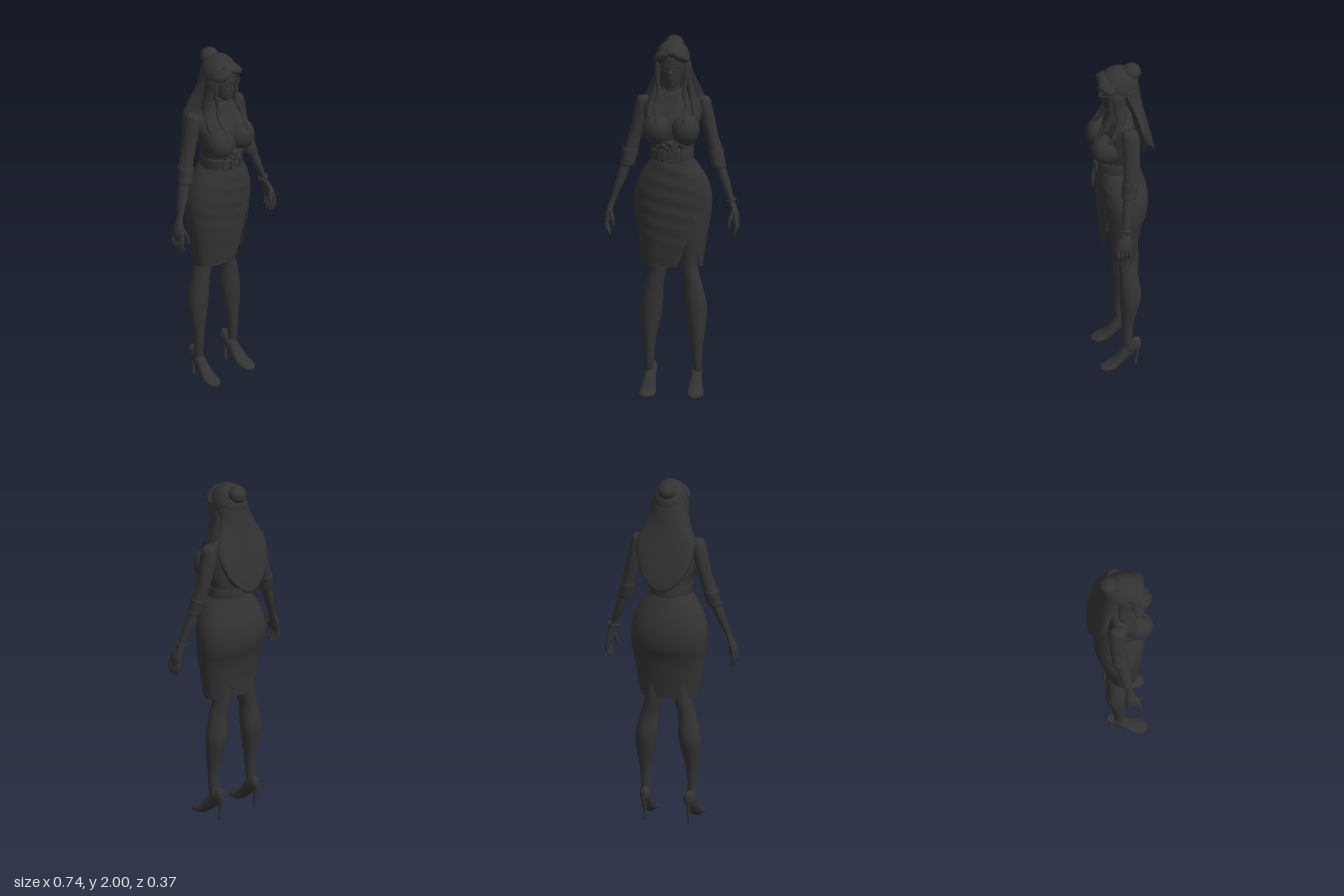
import * as THREE from 'three';
import { mergeVertices } from 'three/addons/utils/BufferGeometryUtils.js';

const charcoal = new THREE.MeshStandardMaterial({ color: 0x333333, side: THREE.DoubleSide });
charcoal.name = 'charcoal';

export function createModel() {
  const model = new THREE.Group();
  model.name = 'woman';

  const add = (name, geo, pos = [0, 0, 0], rot = [0, 0, 0], scale = [1, 1, 1]) => {
    const mesh = new THREE.Mesh(geo, charcoal);
    mesh.name = name;
    mesh.position.set(...pos);
    mesh.rotation.set(...rot);
    mesh.scale.set(...scale);
    model.add(mesh);
    return mesh;
  };
  const ball = (name, pos, scale, rot) => add(name, new THREE.SphereGeometry(1, 28, 20), pos, rot, scale);

  // smooth interpolation through rows of numbers
  const sample = (rows, t) => {
    const f = t * (rows.length - 1), i = Math.min(Math.floor(f), rows.length - 2), k = f - i;
    const r = j => rows[Math.max(0, Math.min(rows.length - 1, j))];
    return rows[0].map((_, c) => {
      const a = r(i - 1)[c], b = r(i)[c], d = r(i + 1)[c], e = r(i + 2)[c];
      return b + 0.5 * k * (d - a + k * (2 * a - 5 * b + 4 * d - e + k * (3 * (b - d) + e - a)));
    });
  };

  // grid surface from fn(u, v), welded and smooth
  const surface = (fn, nu, nv) => {
    const pos = [], idx = [];
    for (let j = 0; j <= nv; j++) for (let i = 0; i <= nu; i++) pos.push(...fn(i / nu, j / nv));
    for (let j = 0; j < nv; j++) for (let i = 0; i < nu; i++) {
      const a = j * (nu + 1) + i, b = a + nu + 1;
      idx.push(a, b, a + 1, b, b + 1, a + 1);
    }
    const g = new THREE.BufferGeometry();
    g.setAttribute('position', new THREE.Float32BufferAttribute(pos, 3));
    g.setIndex(idx);
    const welded = mergeVertices(g, 1e-5);
    welded.computeVertexNormals();
    return welded;
  };

  // closed loft; rows run downwards as [y, centre x, centre z, radius x, radius z]
  const loft = (rows, side = 1, nu = 24, per = 5) => {
    const n = (rows.length - 1) * per;
    return surface((u, v) => {
      const j = Math.round(v * (n + 2)) - 1;
      const [y, cx, cz, rx, rz] = sample(rows, Math.max(0, Math.min(n, j)) / n);
      const k = j < 0 || j > n ? 0 : 1, a = (Math.round(u * nu) % nu) / nu * Math.PI * 2;
      return [side * cx + k * rx * Math.sin(a), y, cz + k * rz * Math.cos(a)];
    }, nu, n + 2);
  };
  // flat panel from four corners
  const panel = (a, b, c, d) => surface((u, v) => a.map((_, i) =>
    (1 - v) * ((1 - u) * a[i] + u * b[i]) + v * ((1 - u) * d[i] + u * c[i])), 4, 4);

  // blouse
  add('blouseTorso', loft([
    [1.70, 0, 0, .05, .045], [1.68, 0, 0, .1, .057], [1.65, 0, 0, .155, .066], [1.6, 0, .008, .165, .082],
    [1.53, 0, .022, .15, .1], [1.46, 0, .025, .135, .105], [1.4, 0, .02, .116, .1], [1.32, 0, .025, .11, .1],
  ], 1, 36));
  for (const s of [1, -1]) {
    ball('bust', [s * .08, 1.495, .098], [.078, .088, .083]);
    add('lapel', panel([s * .05, 1.715, .045], [s * .105, 1.64, .085], [s * .09, 1.57, .152], [s * .03, 1.61, .125]));
    add('blouseKnotTail', new THREE.ConeGeometry(.02, .09, 10), [s * .035, 1.425, .135], [.3, 0, s * 1.1], [1, 1, .5]);
    add('blouseFold', new THREE.CapsuleGeometry(.011, .13, 4, 10), [s * .06, 1.43, .123], [.1, s * .5, s * -1.0]);
  }
  ball('blouseKnot', [0, 1.42, .135], [.024, .022, .02]);

  // standing collar, open at the front and higher at the back
  add('collar', surface((u, v) => {
    const a = .55 + u * (Math.PI * 2 - 1.1), back = (1 - Math.cos(a)) / 2;
    const r = .056 + v * .03;
    return [r * 1.1 * Math.sin(a), 1.675 + .055 * back + .035 * (1 - v) - v * .02, .005 + r * Math.cos(a)];
  }, 32, 4));

  // belt and buckle
  add('belt', loft([[1.385, 0, .027, .114, .108], [1.38, 0, .027, .119, .112], [1.325, 0, .027, .119, .112], [1.32, 0, .027, .114, .108]], 1, 36, 2));
  for (const s of [1, -1]) {
    add('buckleSide', new THREE.BoxGeometry(.01, .06, .012), [s * .03, 1.352, .141]);
    add('buckleBar', new THREE.BoxGeometry(.06, .01, .012), [0, 1.352 + s * .025, .141]);
    add('beltLoop', new THREE.BoxGeometry(.012, .07, .01), [s * .065, 1.352, .122], [0, s * .5, 0]);
  }
  add('bucklePin', new THREE.BoxGeometry(.03, .008, .012), [.008, 1.352, .142]);

  // pencil skirt with a slit: rows are [y, radius x, front z, back z, slit start angle, slit end angle]
  const skirtRows = [
    [1.335, .112, .132, -.08, .66, .66], [1.27, .16, .138, -.107, .66, .66], [1.2, .196, .14, -.133, .66, .66],
    [1.12, .215, .137, -.146, .66, .66], [1.04, .213, .13, -.139, .66, .66], [.96, .202, .123, -.113, .59, .72],
    [.85, .183, .113, -.094, .42, .9], [.73, .165, .102, -.08, .21, 1.14],
  ];
  const soft = t => Math.sign(t) * Math.abs(t) ** .93;
  add('skirt', surface((u, v) => {
    const [y, rx, zf, zb, a0, a1] = sample(skirtRows, v);
    const a = a1 + u * (a0 + Math.PI * 2 - a1), c = soft(Math.cos(a));
    const cz = (zf + zb) / 2, fold = .002 * Math.max(0, c) * Math.sin(y * 75 + a * 4);
    return [rx * soft(Math.sin(a)), y, cz + c * (zf - zb) / 2 + fold];
  }, 56, 42));

  for (const s of [1, -1]) {
    // leg
    add('leg', loft([
      [1.0, .085, 0, .075, .085], [.85, .08, -.01, .06, .07], [.72, .083, -.025, .049, .058], [.62, .107, -.024, .051, .052],
      [.5, .122, -.03, .062, .06], [.4, .129, -.022, .051, .048], [.3, .132, -.013, .034, .034],
      [.2, .133, -.012, .026, .028], [.12, .133, -.025, .026, .03],
    ], s));

    // high-heeled shoe, sections from heel to toe: [z, centre y, radius x, radius y]
    const shoe = [[-.088, .15, .012, .022], [-.075, .15, .026, .038], [-.045, .138, .031, .05], [-.005, .104, .032, .052],
      [.035, .062, .038, .042], [.07, .032, .045, .03], [.11, .021, .043, .02], [.135, .015, .026, .013], [.142, .013, .01, .008]];
    add('shoe', surface((u, v) => {
      const n = 40, j = Math.round(v * 42) - 1, [z, cy, rx, ry] = sample(shoe, Math.max(0, Math.min(n, j)) / n);
      const k = j < 0 || j > n ? 0 : 1, a = (Math.round(u * 24) % 24) / 24 * Math.PI * 2;
      return [s * (.128 + z * .06) + k * rx * Math.sin(a), Math.max(0, cy + k * ry * Math.cos(a)), z];
    }, 24, 42));
    add('stiletto', loft([[.14, .125, -.066, .022, .024], [.08, .125, -.064, .011, .012], [0, .125, -.057, .007, .008]], s, 14));

    // sleeve and rolled cuff
    add('sleeve', loft([
      [1.668, .166, -.02, .02, .025], [1.655, .169, -.02, .034, .042], [1.61, .175, -.021, .04, .05], [1.54, .19, -.023, .04, .048],
      [1.45, .212, -.02, .037, .045], [1.36, .237, -.012, .039, .043], [1.3, .25, -.002, .037, .038],
    ], s));
    add('sleeveCuff', loft([[1.375, .235, -.012, .036, .04], [1.365, .237, -.012, .043, .047], [1.325, .244, -.004, .041, .045],
      [1.285, .254, .003, .041, .042], [1.275, .256, .004, .034, .036]], s, 24, 3));
    add('cuffFlap', new THREE.ConeGeometry(.015, .07, 8), [s * .277, 1.365, -.005], [0, 0, s * -.1], [.5, 1, 1.2]);

    // forearm and palm
    add('forearm', loft([
      [1.32, .25, -.002, .03, .032], [1.2, .29, .016, .027, .03], [1.12, .319, .03, .018, .022], [1.08, .333, .035, .017, .024],
      [1.03, .35, .046, .019, .041], [.99, .355, .05, .016, .042], [.975, .356, .05, .01, .034],
    ], s));
    // fingers and thumb
    for (let i = 0; i < 4; i++) {
      const z = .018 + i * .022, end = [.925, .905, .9, .915][i];
      add('finger', loft([[1.0, .355, z, .011, .011], [.96, .361, z + .002, .011, .011],
        [.935, .355, z + .004, .009, .009], [end, .343, z + .004, .005, .006]], s, 10, 3));
    }
    add('thumb', loft([[1.05, .345, .07, .01, .012], [1.01, .33, .086, .012, .013], [.975, .322, .094, .009, .01],
      [.95, .322, .096, .005, .006]], s, 10, 3));
  }
  add('bracelet', new THREE.TorusGeometry(.023, .006, 8, 24), [.325, 1.1, .032], [Math.PI / 2, .3, 0]);
  add('watchFace', new THREE.CylinderGeometry(.014, .014, .01, 16), [.348, 1.1, .032], [0, 0, 1.3]);

  // neck and head
  add('neck', loft([[1.8, 0, .0, .042, .045], [1.73, 0, .005, .038, .04], [1.68, 0, .0, .045, .045], [1.64, 0, .0, .06, .055]]));
  add('head', loft([
    [1.96, 0, .015, .04, .06], [1.93, 0, .012, .07, .095], [1.88, 0, .013, .078, .1], [1.83, 0, .017, .073, .095],
    [1.79, 0, .03, .061, .077], [1.755, 0, .052, .042, .05], [1.735, 0, .07, .024, .028], [1.728, 0, .075, .01, .015],
  ], 1, 32));
  add('nose', new THREE.ConeGeometry(.012, .045, 10), [0, 1.828, .112], [-.25, 0, 0]);
  ball('lips', [0, 1.778, .101], [.018, .008, .008]);
  for (const s of [1, -1]) {
    ball('eye', [s * .03, 1.848, .1], [.014, .008, .008]);
    ball('ear', [s * .075, 1.835, .01], [.01, .026, .016]);
    add('earring', new THREE.TorusGeometry(.014, .003, 6, 18), [s * .083, 1.785, .01], [0, Math.PI / 2, 0]);
    // glasses
    add('glassesRim', new THREE.TorusGeometry(.025, .0028, 6, 24), [s * .033, 1.845, .118], [0, s * .2, 0], [1.1, .85, 1]);
    add('glassesArm', new THREE.BoxGeometry(.004, .005, .11), [s * .073, 1.85, .06], [0, s * -.15, 0]);
  }
  add('glassesBridge', new THREE.BoxGeometry(.014, .004, .004), [0, 1.85, .122]);

  // hair: cap, swept fringe, bun
  add('hairCap', new THREE.SphereGeometry(1, 36, 24, 0, Math.PI * 2, 0, Math.PI * .6), [0, 1.878, .012], [-.42, 0, 0], [.095, .108, .112]);
  ball('fringe', [-.045, 1.905, .085], [.062, .03, .045], [.2, -.5, .55]);
  ball('fringe', [.045, 1.905, .085], [.062, .03, .045], [.2, .5, -.55]);
  ball('fringeSweep', [.012, 1.925, .093], [.06, .03, .04], [.2, .1, -.2]);
  ball('hairBun', [0, 1.95, -.06], [.052, .05, .052]);

  // long hair down the back: rows are [half width, side z, back z]
  const hairRows = [[.07, -.01, -.085], [.092, -.015, -.1], [.102, -.03, -.112], [.122, -.055, -.125],
    [.148, -.075, -.142], [.166, -.088, -.16], [.16, -.105, -.176], [.145, -.125, -.186]];
  add('longHair', surface((u, v) => {
    const n = 36, j = Math.round(v * (n + 2)) - 1, t = Math.max(0, Math.min(n, j)) / n;
    const [w, zs, zb] = sample(hairRows, t), k = j < 0 || j > n ? 0 : 1;
    const a = (Math.round(u * 36) % 36) / 36 * Math.PI * 2, sx = k * Math.sin(a), c = k * Math.cos(a);
    const y = 1.93 + t * (1.395 + .14 * sx * sx - 1.93);
    return [w * sx, y, zs + (c < 0 ? c * (zs - zb) : c * .015 - (k ? 0 : .02))];
  }, 36, 38));

  // loose strands framing the face
  for (const s of [1, -1]) {
    add('sideHair', loft([[1.92, .07, .05, .012, .03], [1.85, .086, .035, .012, .04], [1.77, .088, .02, .016, .035],
      [1.68, .105, .02, .022, .03], [1.6, .125, .06, .016, .02], [1.53, .125, .11, .006, .01]], s, 14));
    add('looseStrand', loft([[1.87, .08, .07, .008, .014], [1.78, .08, .07, .01, .014], [1.7, .07, .078, .013, .012],
      [1.63, .085, .105, .011, .011], [1.57, .075, .148, .009, .009], [1.51, .09, .18, .003, .003]], s, 10));
  }
  return model;
}
